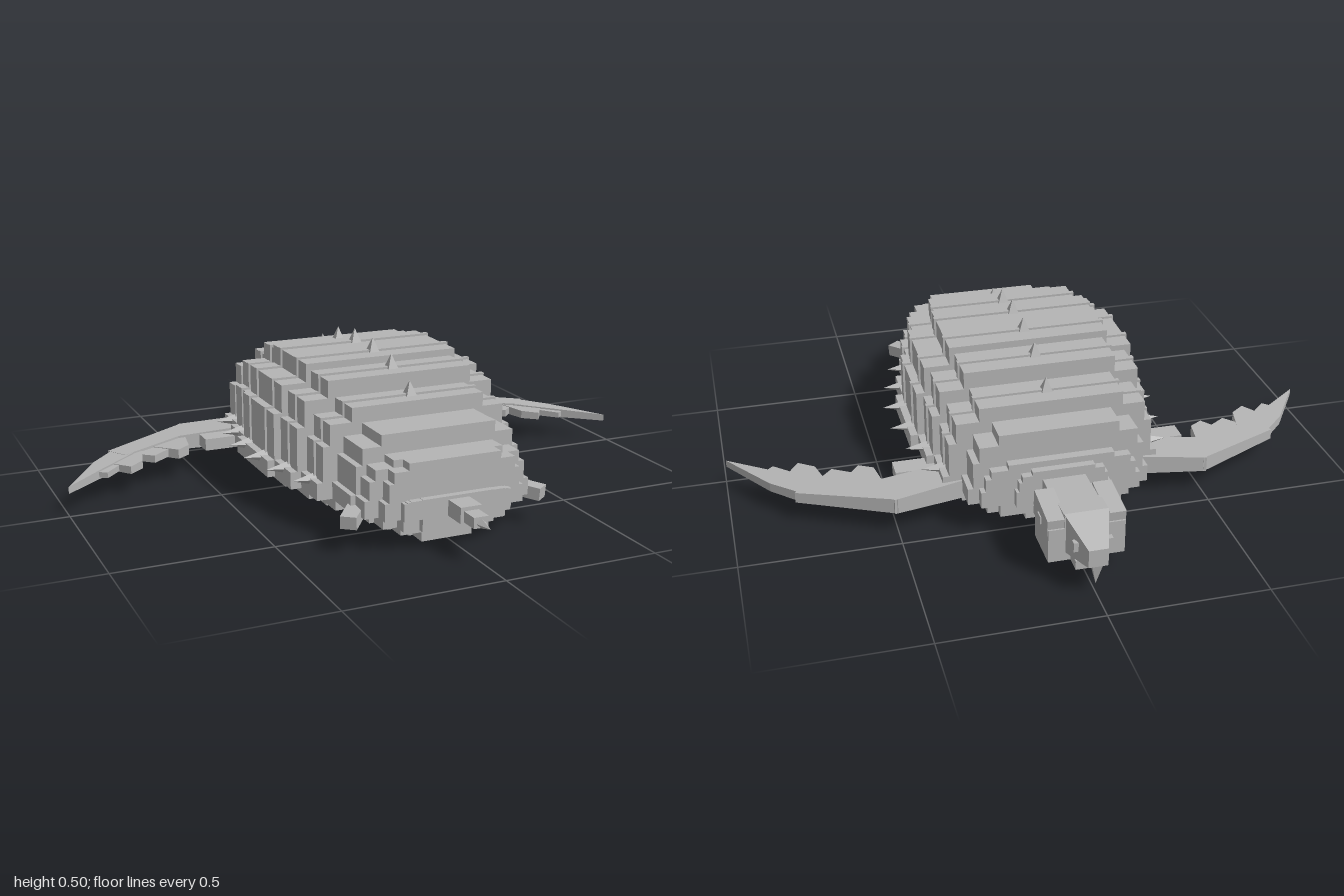
import * as THREE from 'three';

export function createModel() {
  const model = new THREE.Group();
  const stone = new THREE.MeshStandardMaterial({ color: 0xb4b4b4, flatShading: true });
  stone.name = 'plain grey';

  const add = (name, geometry, parent = model) => {
    const mesh = new THREE.Mesh(geometry, stone);
    mesh.name = name;
    parent.add(mesh);
    return mesh;
  };
  const part = (name) => {
    const g = new THREE.Group();
    g.name = name;
    model.add(g);
    return g;
  };
  // Box given by its limits
  const block = (name, x0, x1, y0, y1, z0, z1, parent) => {
    const m = add(name, new THREE.BoxGeometry(x1 - x0, y1 - y0, z1 - z0), parent);
    m.position.set((x0 + x1) / 2, (y0 + y1) / 2, (z0 + z1) / 2);
    return m;
  };
  // Flat outline in x and z, thickened between two height rules
  const slab = (name, pts, low, high, parent) => {
    const shape = new THREE.Shape(pts.map(([x, z]) => new THREE.Vector2(x, -z)));
    const geo = new THREE.ExtrudeGeometry(shape, { depth: 1, bevelEnabled: false });
    geo.rotateX(-Math.PI / 2);
    const p = geo.attributes.position;
    for (let i = 0; i < p.count; i++) {
      const rule = p.getY(i) > 0.5 ? high : low;
      p.setY(i, rule(p.getX(i), p.getZ(i)));
    }
    geo.computeVertexNormals();
    return add(name, geo, parent);
  };

  // Stepped dome slices: z start, z end, half width, top
  const slices = [
    [-0.545, -0.52, 0.15, 0.22],
    [-0.52, -0.49, 0.255, 0.24],
    [-0.49, -0.40, 0.29, 0.33],
    [-0.40, -0.26, 0.35, 0.38],
    [-0.26, -0.12, 0.375, 0.435],
    [-0.12, 0.025, 0.40, 0.458],
    [0.025, 0.17, 0.40, 0.458],
    [0.17, 0.31, 0.375, 0.435],
    [0.31, 0.44, 0.34, 0.38],
    [0.44, 0.58, 0.29, 0.33],
    [0.58, 0.645, 0.275, 0.27],
    [0.645, 0.69, 0.23, 0.27],
    [0.69, 0.712, 0.178, 0.16],
  ];
  const shell = part('shell');
  const dome = (name, z0, z1, w, h, grow) => {
    const steps = [[1, 0], [0.94, 0.5], [0.87, 0.8], [0.66, 1]];
    let base = 0.10;
    for (const [f, t] of steps) {
      const top = 0.155 + (h - 0.155) * t + (t ? grow : 0);
      const half = w * f + (t ? grow : 0);
      block(name, -half, half, base, top, z0, z1, shell);
      base = top;
    }
  };
  slices.forEach(([z0, z1, w, h]) => {
    dome('shellSlice', z0, z1, w, h, 0);
    block('lowerRim', -w + 0.06, w - 0.06, 0.06, 0.10, z0, z1, shell);
  });

  // Plastron in two stepped layers beneath the shell
  const belly = part('belly');
  for (const [z0, z1, w] of slices) {
    const a = Math.max(z0, -0.46), b = Math.min(z1, 0.64);
    if (b - a < 0.01) continue;
    block('bellyUpper', -w + 0.12, w - 0.12, 0.03, 0.06, a, b, belly);
    block('bellyLower', -w + 0.19, w - 0.19, 0, 0.03, a, b, belly);
  }

  // A thin rib with back and side spikes halfway along each large slice
  const spikes = part('spikes');
  for (const [z0, z1, w, h] of slices.slice(3, 9)) {
    const z = (z0 + z1) / 2;
    dome('rib', z - 0.008, z + 0.008, w, h, 0.007);
    const back = add('backSpike', new THREE.ConeGeometry(0.026, 0.05, 4), spikes);
    back.position.set(0, h + 0.022, z);
    back.rotation.y = Math.PI / 4;
    for (const s of [1, -1]) {
      const side = add('sideSpike', new THREE.ConeGeometry(0.022, 0.08, 4), spikes);
      side.position.set(s * (w + 0.015), 0.15, z);
      side.rotation.z = -s * Math.PI / 2;
    }
  }

  // Head with hooked beak
  const head = part('head');
  block('neck', -0.068, 0.068, 0.06, 0.19, -0.64, -0.53, head);
  block('skull', -0.068, 0.068, 0.06, 0.21, -0.79, -0.63, head);
  for (const s of [1, -1]) {
    block('cheek', s * 0.09 - 0.028, s * 0.09 + 0.028, 0.06, 0.17, -0.79, -0.64, head);
    const brow = block('brow', s * 0.09 - 0.03, s * 0.09 + 0.03, 0.155, 0.21, -0.785, -0.635, head);
    brow.rotation.x = -0.12;
    block('eye', s * 0.12 - 0.004, s * 0.12 + 0.004, 0.15, 0.175, -0.72, -0.69, head);
    block('nostril', s * 0.052 - 0.008, s * 0.052 + 0.008, 0.13, 0.16, -0.855, -0.835, head);
  }
  const beakTop = (x, z) => 0.21 + (z + 0.79) * 0.42;
  slab('beak', [[-0.068, -0.78], [-0.03, -0.905], [0.03, -0.905], [0.068, -0.78]],
    (x, z) => 0.085 + (-0.78 - z) * 0.15, beakTop, head);
  block('jaw', -0.05, 0.05, 0.06, 0.09, -0.845, -0.78, head);
  const hook = add('beakHook', new THREE.ConeGeometry(0.027, 0.085, 4), head);
  hook.rotation.set(Math.PI, Math.PI / 4, 0);
  hook.position.set(0, 0.072, -0.882);

  // Tail
  const tail = part('tail');
  block('tailBase', -0.035, 0.035, 0.10, 0.15, 0.70, 0.79, tail);
  block('tailMiddle', -0.024, 0.024, 0.104, 0.138, 0.79, 0.85, tail);
  const tip = add('tailTip', new THREE.ConeGeometry(0.02, 0.07, 4), tail);
  tip.rotation.x = Math.PI / 2;
  tip.position.set(0, 0.118, 0.87);

  // Flippers, thinning and dropping toward the tip
  const centre = (x) => 0.106 - (Math.abs(x) - 0.3) * 0.038;
  const half = (x) => 0.031 - (Math.abs(x) - 0.3) * 0.027;
  const pieces = {
    upperArm: [1, [[0.25, -0.40], [0.51, -0.443], [0.55, -0.31], [0.27, -0.28]]],
    forearm: [1, [[0.50, -0.443], [0.80, -0.295], [0.76, -0.22], [0.51, -0.326]]],
    hand: [0.95, [[0.78, -0.30], [0.87, -0.21], [0.995, -0.02], [0.86, -0.13], [0.73, -0.23]]],
    innerFeather: [0.7, [[0.52, -0.34], [0.66, -0.28], [0.585, -0.19], [0.54, -0.22]]],
    middleFeather: [0.6, [[0.60, -0.31], [0.74, -0.25], [0.67, -0.18], [0.60, -0.23]]],
    outerFeather: [0.7, [[0.69, -0.27], [0.85, -0.22], [0.77, -0.11], [0.72, -0.15]]],
    tipFeather: [0.6, [[0.78, -0.24], [0.90, -0.14], [0.85, -0.10], [0.77, -0.18]]],
  };
  for (const s of [1, -1]) {
    const flipper = part(s > 0 ? 'leftFrontFlipper' : 'rightFrontFlipper');
    for (const [name, [thick, pts]] of Object.entries(pieces)) {
      slab(name, pts.map(([x, z]) => [s * x, z]),
        (x) => centre(x) - half(x) * thick, (x) => centre(x) + half(x) * thick, flipper);
    }
    const a = s * 0.26, b = s * 0.48;
    block('shoulder', Math.min(a, b), Math.max(a, b), 0.085, 0.125, -0.29, -0.22, flipper);

    const hind = add(s > 0 ? 'leftHindFlipper' : 'rightHindFlipper', new THREE.BoxGeometry(0.05, 0.04, 0.17));
    hind.position.set(s * 0.275, 0.105, 0.58);
    hind.rotation.set(0.08, s * 0.66, 0, 'YXZ');
  }
  return model;
}
